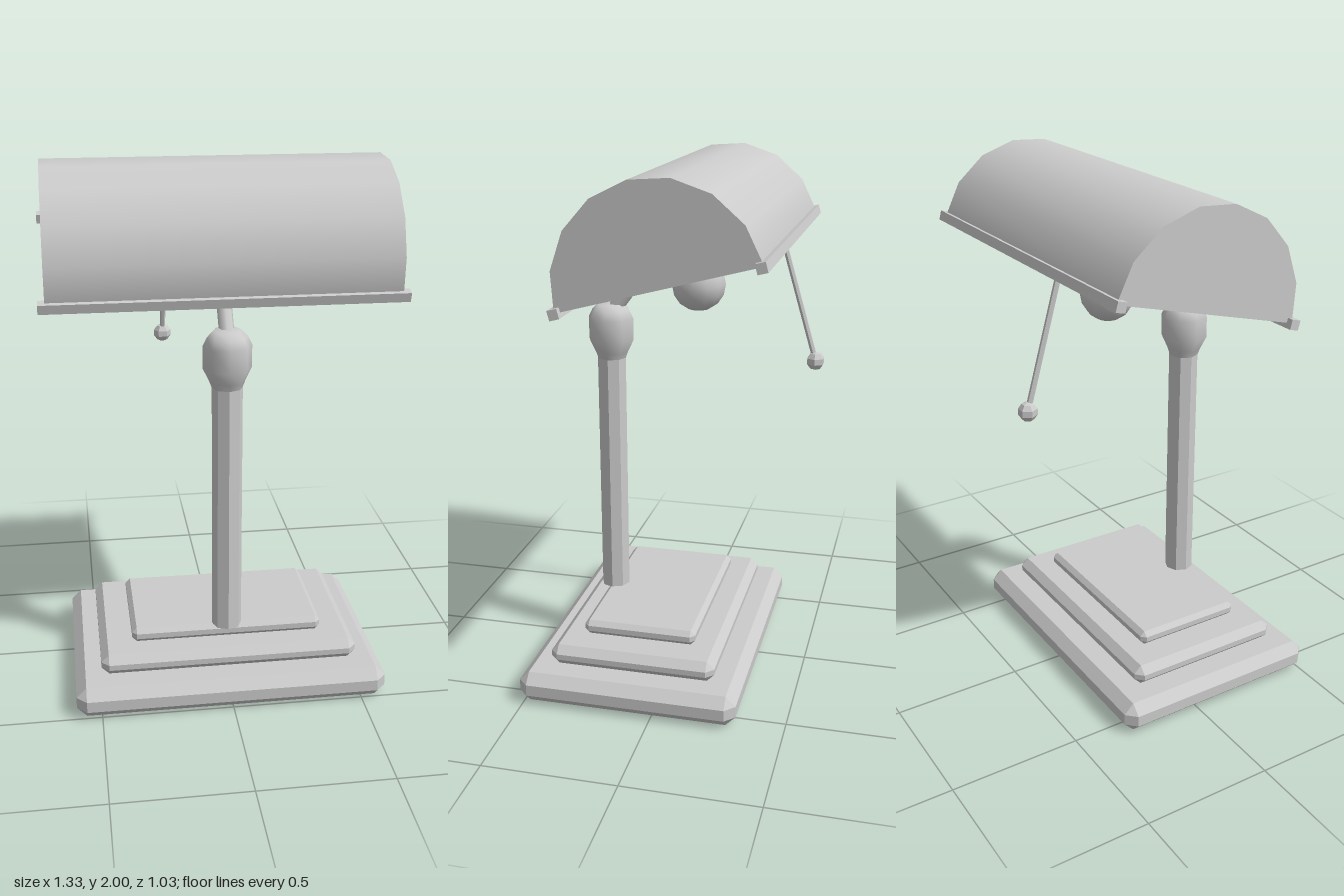
import * as THREE from 'three';
import { ConvexGeometry } from 'three/addons/geometries/ConvexGeometry.js';

const material = (options = {}) => new THREE.MeshStandardMaterial({ color: 0xcccccc, ...options });
const flat = material({ flatShading: true });
const smooth = material();
const thin = material({ side: THREE.DoubleSide });

function add(parent, name, geometry, mat, x = 0, y = 0, z = 0) {
  const mesh = new THREE.Mesh(geometry, mat);
  mesh.name = name;
  mesh.position.set(x, y, z);
  parent.add(mesh);
  return mesh;
}

// Box with every edge and corner chamfered by b
function chamferBox(w, h, d, b) {
  const points = [];
  for (const sx of [-1, 1]) for (const sy of [-1, 1]) for (const sz of [-1, 1]) {
    for (let axis = 0; axis < 3; axis++) {
      const inset = [b, b, b];
      inset[axis] = 0;
      points.push(new THREE.Vector3(
        sx * (w / 2 - inset[0]), sy * (h / 2 - inset[1]), sz * (d / 2 - inset[2])));
    }
  }
  return new ConvexGeometry(points);
}

export function createModel() {
  const lamp = new THREE.Group();
  lamp.name = 'deskLamp';

  // Stepped base: width, depth, bottom, top, chamfer
  const tiers = [
    [1.19, 0.84, 0, 0.12, 0.038],
    [0.99, 0.64, 0.12, 0.2, 0.029],
    [0.74, 0.44, 0.2, 0.257, 0.018],
  ];
  tiers.forEach(([w, d, y0, y1, b], i) =>
    add(lamp, `baseTier${i + 1}`, chamferBox(w, y1 - y0, d, b), flat, 0, (y0 + y1) / 2, 0.1));

  // Octagonal post and swollen joint
  add(lamp, 'post', new THREE.CylinderGeometry(0.057, 0.057, 1.0, 8), flat, 0, 0.755, 0.298);
  const jointProfile = [
    [0.055, 1.22], [0.066, 1.25], [0.09, 1.3], [0.09, 1.385], [0.075, 1.415], [0.052, 1.44], [0, 1.44],
  ].map(([r, y]) => new THREE.Vector2(r, y));
  add(lamp, 'joint', new THREE.LatheGeometry(jointProfile, 8), smooth, 0, 0, 0.298);

  // Bent arm running into the bulb
  const armPath = new THREE.CatmullRomCurve3([
    [0.29, 1.41], [0.245, 1.47], [0.185, 1.545], [0.1, 1.59], [-0.02, 1.62],
  ].map(([z, y]) => new THREE.Vector3(0, y, z)));
  add(lamp, 'arm', new THREE.TubeGeometry(armPath, 10, 0.028, 8), smooth);
  add(lamp, 'bulb', new THREE.SphereGeometry(0.105, 12, 8), smooth, 0, 1.535, -0.05);

  // Tilted half-cylinder shade with closed ends
  const r = 0.365;
  const shade = new THREE.Group();
  shade.name = 'shade';
  shade.position.set(0, 1.637, -0.053);
  shade.rotation.x = THREE.MathUtils.degToRad(15);
  lamp.add(shade);
  const shell = new THREE.CylinderGeometry(r, r, 1.28, 8, 1, true, 0, Math.PI).rotateZ(Math.PI / 2);
  add(shade, 'shadeShell', shell, thin);
  for (const s of [-1, 1]) {
    const cap = new THREE.CircleGeometry(r, 8, 0, Math.PI).rotateY(s * Math.PI / 2);
    add(shade, s > 0 ? 'shadeLeftEnd' : 'shadeRightEnd', cap, thin, s * 0.64);
    add(shade, s > 0 ? 'frontRail' : 'backRail',
      new THREE.BoxGeometry(1.33, 0.036, 0.036), flat, 0, 0, s * (r - 0.005));
  }

  // Pull cord with a faceted knob
  const top = new THREE.Vector3(-0.158, 1.725, -0.333);
  const end = new THREE.Vector3(-0.165, 1.215, -0.482);
  add(lamp, 'pullCord', new THREE.TubeGeometry(new THREE.LineCurve3(top, end), 1, 0.011, 6), flat);
  add(lamp, 'pullKnob', new THREE.SphereGeometry(0.037, 6, 5), flat, end.x, end.y, end.z);

  return lamp;
}
